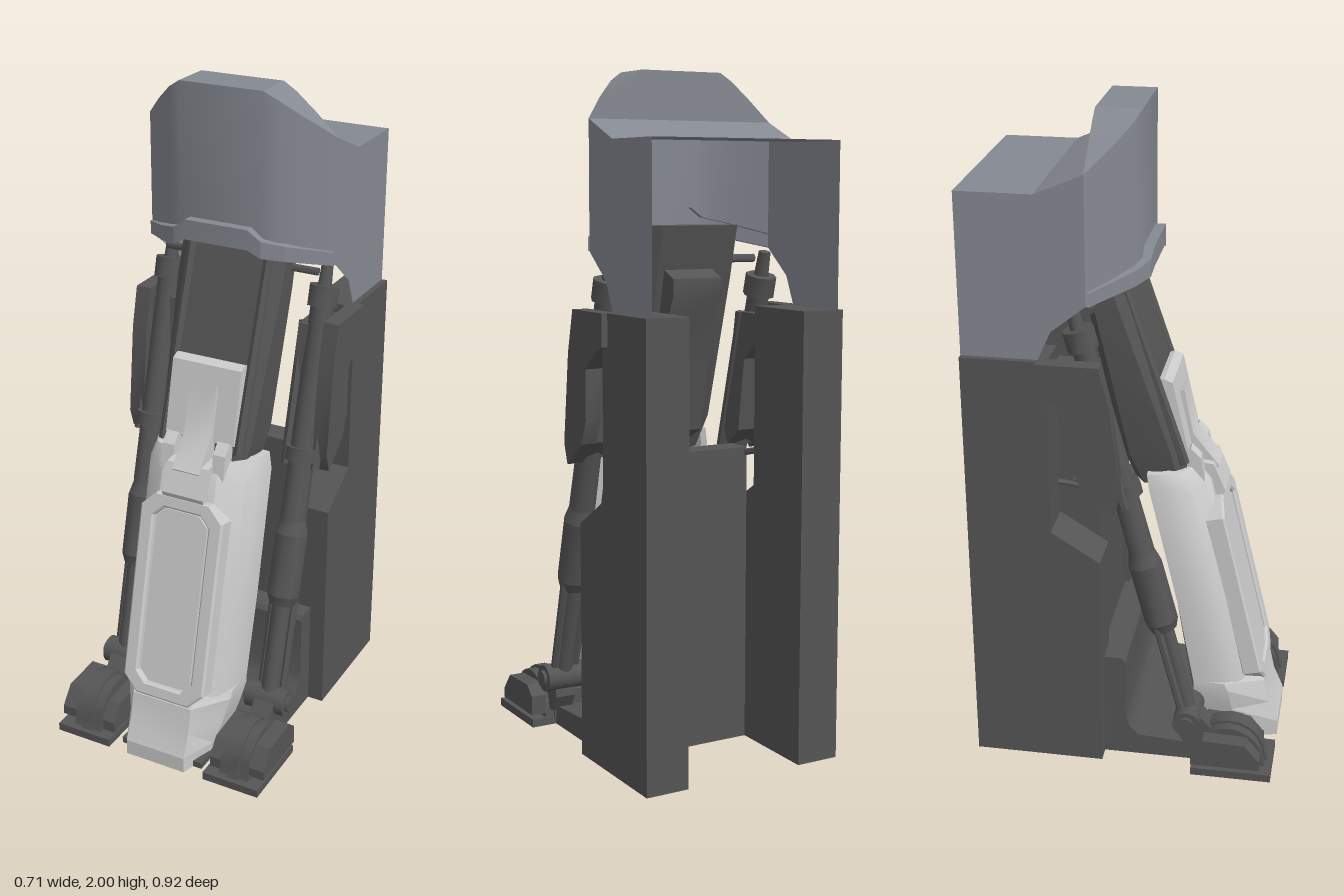
import * as THREE from 'three';
import { toCreasedNormals } from 'three/addons/utils/BufferGeometryUtils.js';

const light = new THREE.MeshStandardMaterial({ color: 0xcccccc, side: THREE.DoubleSide });
const mid = new THREE.MeshStandardMaterial({ color: 0x858991, side: THREE.DoubleSide });
const dark = new THREE.MeshStandardMaterial({ color: 0x555555, side: THREE.DoubleSide });

export function createModel() {
  const root = new THREE.Group();
  root.name = 'steppedPylon';

  function add(name, geo, mat = dark, parent = root) {
    const m = new THREE.Mesh(geo, mat);
    m.name = name;
    parent.add(m);
    return m;
  }
  // Box given by its two corners
  function box(name, a, b, mat, parent) {
    const g = new THREE.BoxGeometry(b[0] - a[0], b[1] - a[1], b[2] - a[2]);
    g.translate((a[0] + b[0]) / 2, (a[1] + b[1]) / 2, (a[2] + b[2]) / 2);
    return add(name, g, mat, parent);
  }
  // Side profile of [z, y] points, extruded from x0 to x1
  function slab(name, pts, x0, x1, mat, parent) {
    const s = new THREE.Shape(pts.map(([z, y]) => new THREE.Vector2(-z, y)));
    const g = new THREE.ExtrudeGeometry(s, { depth: x1 - x0, bevelEnabled: false });
    g.rotateY(Math.PI / 2).translate(x0, 0, 0);
    return add(name, toCreasedNormals(g, 0.5), mat, parent);
  }
  // Round bar between two points
  function bar(name, a, b, r0, r1, sides, mat, parent) {
    const p = new THREE.Vector3(...a), d = new THREE.Vector3(...b).sub(p);
    const g = new THREE.CylinderGeometry(r1, r0, d.length(), sides);
    const m = add(name, toCreasedNormals(g, 0.8), mat, parent);
    m.position.copy(p).addScaledVector(d, 0.5);
    m.quaternion.setFromUnitVectors(new THREE.Vector3(0, 1, 0), d.normalize());
    return m;
  }
  // Surface through rows of points; closed rows get end caps
  function loft(name, rows, closed, mat, parent, crease = 0.5) {
    const n = rows[0].length, pos = rows.flat(2), idx = [];
    for (let i = 0; i < rows.length - 1; i++)
      for (let j = 0; j < (closed ? n : n - 1); j++) {
        const a = i * n + j, b = i * n + (j + 1) % n;
        idx.push(a, a + n, b, b, a + n, b + n);
      }
    if (closed) {
      const last = (rows.length - 1) * n;
      const flat = rows[0].map(p => new THREE.Vector2(p[0], p[2]));
      for (const [a, b, c] of THREE.ShapeUtils.triangulateShape(flat, []))
        idx.push(a, b, c, last + a, last + c, last + b);
    }
    const g = new THREE.BufferGeometry();
    g.setAttribute('position', new THREE.Float32BufferAttribute(pos, 3));
    g.setIndex(idx);
    return add(name, toCreasedNormals(g, crease), mat, parent);
  }
  // Half outline of [x, ...] points mirrored into a full one
  const mirror = half => [...half.map(([x, ...r]) => [-x, ...r]), ...half.slice().reverse()];

  // Hood: plan of the front wall as [x, z, bottom y, top y]
  const hood = new THREE.Group();
  hood.name = 'hood';
  root.add(hood);
  const plan = mirror([[0.302, -0.1, 1.49, 1.86], [0.23, -0.03, 1.515, 1.925],
    [0.17, 0.015, 1.53, 1.975], [0.13, 0.03, 1.54, 2]]);
  loft('hoodFront', [plan.map(([x, z, b]) => [x, b, z]), plan.map(([x, z, , t]) => [x, t, z])], false, mid, hood);
  loft('hoodCrown', [plan.map(([x, z, , t]) => [x, t, z]), plan.map(([x, , , t]) => [x, t, -0.1]),
    plan.map(([x]) => [x, 1.86, -0.1])], false, mid, hood, 0.3);
  loft('hoodRoof', [[-0.1, 1.49, 1.86], [-0.2, 1.41, 1.817], [-0.24, 1.32, 1.8], [-0.46, 1.32, 1.8]].map(
    ([z, b, t]) => [[-0.302, b, z], [-0.302, t, z], [0.302, t, z], [0.302, b, z]]), false, mid, hood, 0.3);
  const lip = mirror([[0.302, -0.09, 1.49, 1.53], [0.2, 0.02, 1.52, 1.565],
    [0.14, 0.055, 1.53, 1.58], [0.1, 0.06, 1.55, 1.61]]);
  loft('hoodLip', [lip.map(([x, z, , t]) => [x * 0.96, t, z - 0.05]), lip.map(([x, z, , t]) => [x, t, z]),
    lip.map(([x, z, b]) => [x, b, z]), lip.map(([x, z, b]) => [x * 0.96, b, z - 0.05])], false, mid, hood, 0.2);

  // Rear centre web and base
  box('centreWeb', [-0.186, 0, -0.17], [0.186, 0.9, -0.09]);
  slab('baseRamp', [[-0.08, 0], [-0.08, 0.345], [-0.01, 0.345], [0, 0.33], [0, 0.14], [0.012, 0.1],
    [0.04, 0.07], [0.2, 0.06], [0.24, 0.03], [0.24, 0]], -0.27, 0.27);
  box('soleTongue', [-0.14, 0, 0.2], [0.14, 0.02, 0.42]);
  bar('crossPin', [-0.25, 1.46, -0.1], [0.25, 1.46, -0.1], 0.012, 0.012, 8);

  // Sloping upper trunk
  loft('upperTrunk', [[0.88, 0.17, 0.0, 0.13], [0.98, 0.15, -0.04, 0.15], [1.4, 0.01, -0.13, 0.17],
    [1.56, -0.045, -0.17, 0.17]].map(([y, f, b, w]) => mirror([
    [w * 0.6, y, b], [w, y, b + 0.035], [w, y, f - 0.03], [w * 0.78, y, f]])), true, dark, root, 0.3);
  slab('trunkSpine', [[-0.02, 0.92], [-0.08, 0.95], [-0.14, 1.25], [-0.19, 1.36], [-0.19, 1.41], [-0.1, 1.45]], -0.08, 0.08);
  for (const x of [-0.125, 0.125])
    bar('trunkRail', [x, 0.95, 0.155], [x, 1.54, -0.045], 0.016, 0.016, 6);

  // Curved front shell: wall of even thickness, open behind
  const shellRow = ([y, zb, zf, w, f]) => {
    const d = zf - zb, t = 0.022;
    const outer = mirror([[w, y, zb], [w, y, zb + 0.25 * d], [w * 0.96, y, zb + 0.48 * d],
      [w * 0.86, y, zb + 0.7 * d], [(w * 0.75 + f) / 2, y, zb + 0.88 * d], [f, y, zf]]);
    return [...outer, ...outer.slice().reverse().map(([x, , z]) =>
      [x * (1 - t / w), y, Math.max(zb, z - t)])];
  };
  loft('frontShell', [[0.22, 0.2, 0.39, 0.18, 0.1], [0.5, 0.15, 0.325, 0.19, 0.1],
    [0.88, 0.06, 0.23, 0.187, 0.09], [0.93, 0.05, 0.19, 0.175, 0.08]].map(shellRow), true, light);
  loft('shellToe', [[0, 0.24, 0.46, 0.13, 0.1], [0.05, 0.23, 0.46, 0.14, 0.1], [0.12, 0.21, 0.43, 0.16, 0.1],
    [0.2, 0.2, 0.412, 0.18, 0.1], [0.225, 0.2, 0.39, 0.18, 0.1]].map(([y, b, f, w, n]) =>
    mirror([[w, y, b], [w, y, b + (f - b) * 0.5], [n, y, f]])), true, light, root, 0.25);
  slab('shellCore', [[0.2, 0.1], [0.36, 0.2], [0.2, 0.85], [0.07, 0.87]], -0.12, 0.12);

  // Raised panel frame on the shell
  const octagon = (P, w, h, c) => new P([[-w, -h + c], [-w + c, -h], [w - c, -h], [w, -h + c],
    [w, h - c], [w - c, h], [-w + c, h], [-w, h - c]].map(p => new THREE.Vector2(...p)));
  const frame = octagon(THREE.Shape, 0.132, 0.315, 0.045);
  frame.holes.push(octagon(THREE.Path, 0.098, 0.285, 0.035));
  const frameMesh = add('panelFrame', new THREE.ExtrudeGeometry(frame,
    { depth: 0.05, bevelEnabled: true, bevelSize: 0.006, bevelThickness: 0.006, bevelSegments: 1 }), light);
  frameMesh.position.set(0, 0.505, 0.288);
  frameMesh.rotation.x = -0.237;
  const inset = add('panelInset', new THREE.ExtrudeGeometry(octagon(THREE.Shape, 0.085, 0.275, 0.03),
    { depth: 0.05, bevelEnabled: false }), light);
  inset.position.set(0, 0.505, 0.285);
  inset.rotation.x = -0.237;

  // Light plate and clasp above the shell
  slab('chestPlate', [[0.13, 0.97], [0.165, 0.98], [0.115, 1.2], [0.09, 1.21], [0.06, 1.2]], -0.113, 0.113, light);
  slab('claspNeck', [[0.12, 1.14], [0.14, 1.15], [0.17, 1.01], [0.25, 0.91], [0.22, 0.88], [0.12, 0.96]], -0.045, 0.045, light);
  slab('clasp', [[0.2, 0.93], [0.235, 0.925], [0.272, 0.84], [0.262, 0.81], [0.22, 0.82]], -0.068, 0.068, light);
  for (const s of [-1, 1]) {
    const m = slab('claspWing', [[0.12, 0.93], [0.17, 0.99], [0.2, 0.96], [0.215, 0.88], [0.17, 0.87]], -0.02, 0.02, light);
    m.position.x = s * 0.085;
  }

  // Parts on each side
  for (const s of [-1, 1]) {
    const g = new THREE.Group();
    g.name = s > 0 ? 'leftSide' : 'rightSide';
    root.add(g);
    const span = (a, b) => s > 0 ? [a, b] : [-b, -a];
    const prof = (name, pts, a, b) => slab(name, pts, ...span(a, b), dark, g);
    const block = (name, x0, x1, y0, y1, z0, z1) => {
      const [a, b] = span(x0, x1);
      return box(name, [a, y0, z0], [b, y1, z1], dark, g);
    };

    prof('rearColumn', [[-0.46, 0], [-0.46, 1.325], [-0.21, 1.325], [-0.21, 0.79],
      [-0.065, 0.7], [-0.065, 0]], 0.186, 0.32);
    prof('sidePanel', [[-0.24, 1.325], [-0.06, 1.325], [-0.03, 1.2], [0, 0.93], [-0.02, 0.87], [-0.11, 0.94],
      [-0.14, 1.01], [-0.14, 1.16], [-0.21, 1.22], [-0.24, 1.23]], 0.29, 0.338);
    prof('innerPanel', [[-0.2, 1.3], [-0.08, 1.3], [-0.02, 0.94], [-0.04, 0.89], [-0.1, 0.94],
      [-0.13, 1.16], [-0.2, 1.22]], 0.2, 0.29);
    bar('webRod', [s * 0.18, 0.88, -0.15], [s * 0.2, 0.9, -0.23], 0.01, 0.01, 6, dark, g);

    // Strut following one sloping line
    const at = (y, dx = 0, dz = 0) => [s * (0.257 + dx), y, 0.195 - 0.262 * (y - 0.16) + dz];
    bar('strutRod', at(0.16), at(0.5), 0.03, 0.03, 10, dark, g);
    for (const dx of [-0.035, 0.035])
      bar('strutSideRod', at(0.2, dx, -0.01), at(0.5, dx, -0.01), 0.012, 0.012, 6, dark, g);
    bar('strutSleeveTip', at(0.46), at(0.49), 0.04, 0.052, 8, dark, g);
    bar('strutSleeve', at(0.49), at(0.68), 0.052, 0.052, 8, dark, g);
    bar('strutSleeveNeck', at(0.68), at(0.72), 0.052, 0.04, 8, dark, g);
    bar('strutTube', at(0.72), at(1.36), 0.04, 0.034, 10, dark, g);
    bar('strutCollar', at(0.9), at(0.94), 0.054, 0.054, 8, dark, g);
    for (const dx of [-0.05, 0.045])
      bar('strutUpperRail', at(0.88, dx), at(1.3, dx), 0.015, 0.015, 6, dark, g);
    bar('strutHead', at(1.35), at(1.41), 0.047, 0.047, 8, dark, g);
    bar('strutPin', at(1.41), at(1.48), 0.022, 0.018, 8, dark, g);

    // Ankle joint and foot
    bar('ankleJoint', [s * 0.19, 0.16, 0.195], [s * 0.32, 0.16, 0.195], 0.042, 0.042, 16, dark, g);
    bar('anklePin', [s * 0.18, 0.16, 0.195], [s * 0.33, 0.16, 0.195], 0.026, 0.026, 12, dark, g);
    block('footPlate', 0.165, 0.35, 0, 0.025, 0.215, 0.46);
    const dome = [[0.44, 0.02]];
    for (let i = 0; i <= 10; i++) {
      const a = i / 10 * Math.PI;
      dome.push([0.325 + 0.105 * Math.cos(a), 0.045 + 0.105 * Math.sin(a)]);
    }
    dome.push([0.22, 0.02]);
    prof('footFender', dome, 0.21, 0.305);
    prof('footRib', dome.map(([z, y]) => [0.325 + (z - 0.325) * 1.06, 0.02 + (y - 0.02) * 1.07]), 0.24, 0.275);
    prof('outerFootBlock', [[0.425, 0.04], [0.425, 0.07], [0.38, 0.125], [0.25, 0.13], [0.215, 0.1], [0.215, 0.04]], 0.305, 0.353);
    prof('innerFootBlock', [[0.42, 0.02], [0.42, 0.06], [0.38, 0.11], [0.25, 0.12], [0.22, 0.1], [0.22, 0.02]], 0.17, 0.21);
    prof('ankleLink', [[0.17, 0.1], [0.18, 0.2], [0.22, 0.19], [0.28, 0.12], [0.26, 0.05], [0.2, 0.05]], 0.225, 0.29);
  }
  return root;
}
